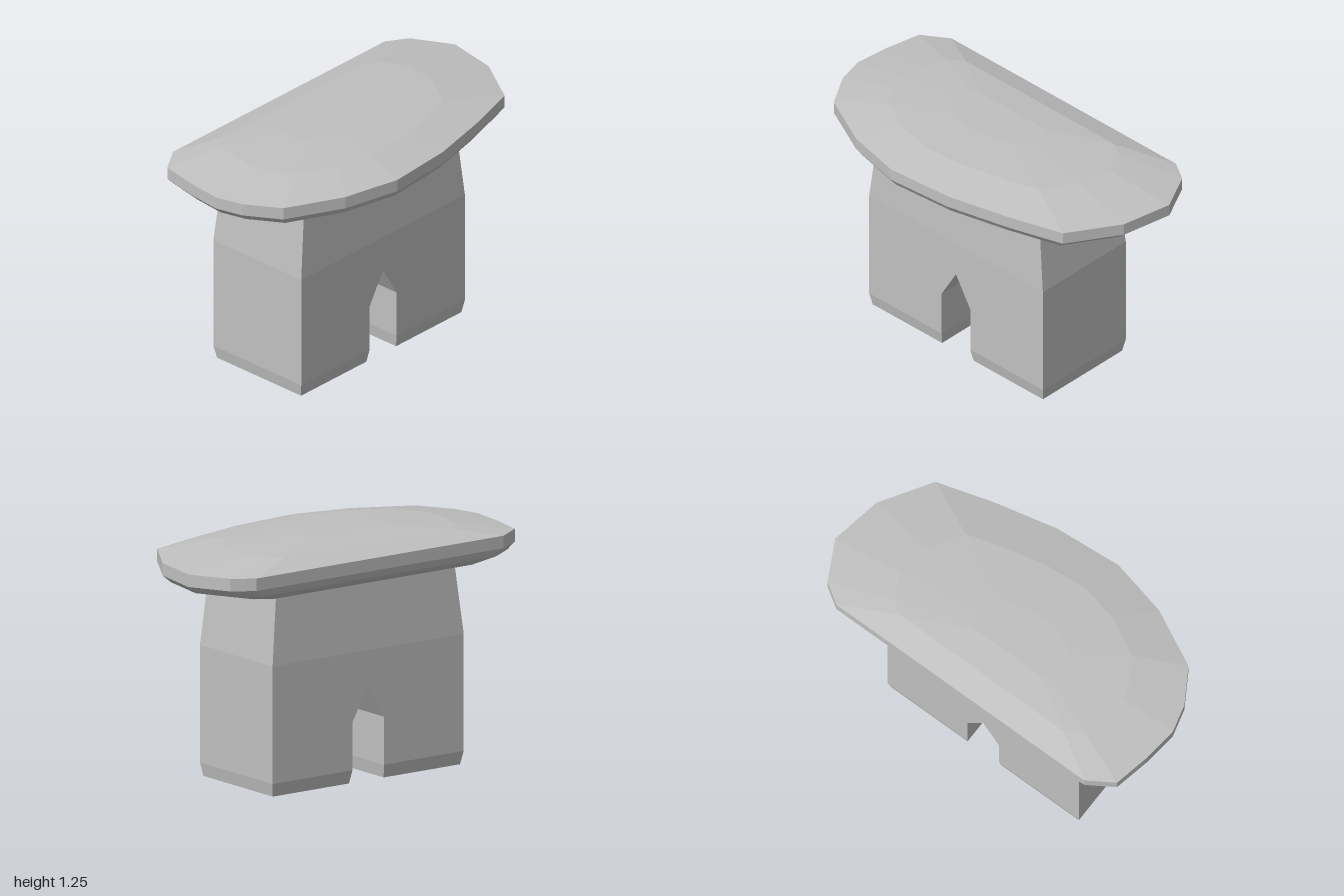
import * as THREE from 'three';

// Skin between matching rings of [x, y, z] corners; open(i, j) leaves out a side face
function loft(rings, open = () => false) {
  const pos = [];
  const n = rings[0].length;
  const tri = (a, b, c) => pos.push(...a, ...b, ...c);
  for (let i = 0; i < rings.length - 1; i++) {
    for (let j = 0; j < n; j++) {
      if (open(i, j)) continue;
      const k = (j + 1) % n;
      const [a, b, c, d] = [rings[i][j], rings[i][k], rings[i + 1][j], rings[i + 1][k]];
      tri(a, c, b);
      tri(b, c, d);
    }
  }
  const bottom = rings[0], top = rings[rings.length - 1];
  for (let j = 1; j < n - 1; j++) {
    tri(bottom[0], bottom[j], bottom[j + 1]);
    tri(top[0], top[j + 1], top[j]);
  }
  const g = new THREE.BufferGeometry();
  g.setAttribute('position', new THREE.Float32BufferAttribute(pos, 3));
  g.computeVertexNormals();
  return g;
}

export function createModel() {
  const group = new THREE.Group();
  const grey = new THREE.MeshStandardMaterial({ color: 0xc0c0c0, flatShading: true });
  grey.name = 'plain grey';
  const add = (name, geometry) => {
    const mesh = new THREE.Mesh(geometry, grey);
    mesh.name = name;
    group.add(mesh);
  };

  // Slab with a straight back edge and an irregular rounded front
  const outline = [
    [-0.8, -0.52], [-0.66, -0.52], [0.77, -0.52], [0.88, -0.45], [0.99, -0.24],
    [0.94, 0.04], [0.77, 0.31], [0.47, 0.4], [0.13, 0.48], [-0.24, 0.51],
    [-0.55, 0.44], [-0.85, 0.29], [-0.96, 0.11], [-1, -0.04], [-0.98, -0.23], [-0.94, -0.43],
  ];
  // Layers: height, x scale, x shift, z scale, z shift
  const layers = [
    [1.05, 0.8, -0.02, 0.81, -0.02],
    [1.09, 0.955, -0.005, 0.955, -0.005],
    [1.13, 1, 0, 1, 0],
    [1.195, 1, 0, 1, 0],
    [1.24, 0.66, -0.04, 0.66, -0.04],
    [1.255, 0.27, -0.09, 0.25, -0.09],
  ];
  add('topSlab', loft(layers.map(([y, sx, dx, sz, dz]) =>
    outline.map(([x, z]) => [x * sx + dx, y, z * sz + dz]))));

  // Mirrored base halves, meeting above the pointed notch
  // Levels: height, inner offset, outer offset, back z, front z
  const centre = -0.05;
  const levels = [
    [0, 0.11, 0.595, -0.36, 0.22],
    [0.07, 0.1, 0.607, -0.375, 0.233],
    [0.32, 0.1, 0.607, -0.375, 0.233],
    [0.49, 0, 0.607, -0.375, 0.233],
    [0.68, 0, 0.607, -0.375, 0.233],
    [1.06, 0, 0.565, -0.35, 0.213],
  ];
  for (const [name, side] of [['leftBase', 1], ['rightBase', -1]]) {
    const rings = levels.map(([y, inner, outer, back, front]) => {
      const ring = [[inner, back], [outer, back], [outer, front], [inner, front]]
        .map(([x, z]) => [centre + side * x, y, z]);
      return side > 0 ? ring : ring.reverse();
    });
    // The halves join without a wall between them
    add(name, loft(rings, (i, j) => i >= 3 && j === 3));
  }
  return group;
}
